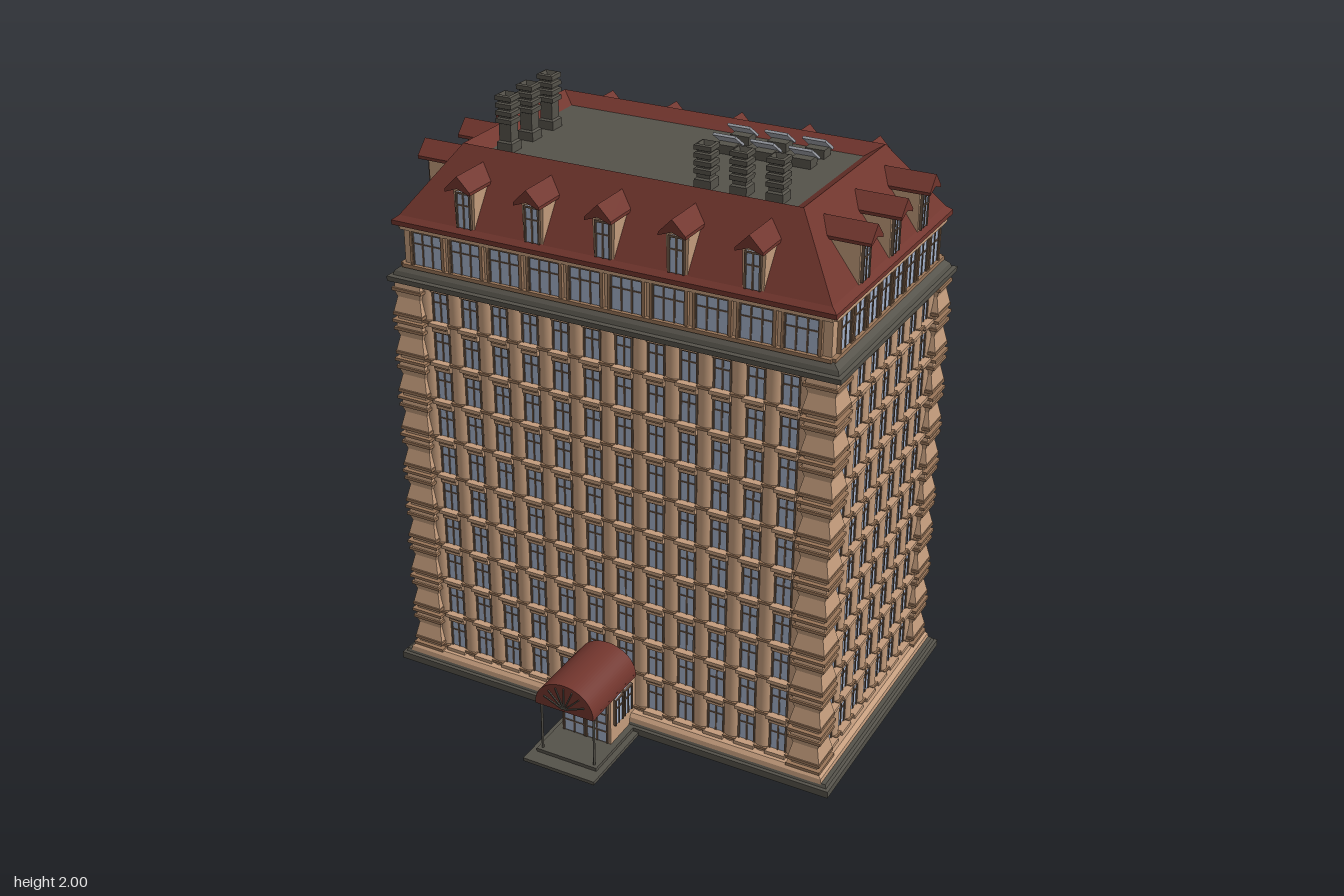
import * as THREE from 'three';
import { mergeGeometries } from 'three/addons/utils/BufferGeometryUtils.js';

const mat = (name, color) => {
  const m = new THREE.MeshStandardMaterial({ color });
  m.name = name;
  return m;
};
const STONE = mat('sandstone', 0xc39c7c);
const TRIM = mat('dark sandstone', 0x9a7659);
const GLASS = mat('window glass', 0xa3b1c9);
const FRAME = mat('window frame', 0x6b5545);
const SLATE = mat('dark slate', 0x55524a);
const ROOF = mat('roof red', 0x71352d);
const PANEL = mat('skylight grey', 0xa0a3ab);

const CZ = -0.145; // depth centre of the tower
const FLOORS = 10, FLOOR_H = 0.1355, FIRST = 0.065;

// Box given by centre x, bottom y, centre z
const box = (w, h, d, x, y, z) => new THREE.BoxGeometry(w, h, d).translate(x, y + h / 2, z);

// Stacked rectangles [y, halfX, halfZ] joined by flat sides
function loft(levels, capTop = true) {
  const p = [];
  const ring = ([y, a, b]) => [[-a, y, b], [a, y, b], [a, y, -b], [-a, y, -b]];
  const quad = (a, b, c, d) => p.push(...a, ...b, ...c, ...a, ...c, ...d);
  const rings = levels.map(ring);
  for (let i = 0; i < rings.length - 1; i++)
    for (let k = 0; k < 4; k++) {
      const n = (k + 1) % 4;
      quad(rings[i][k], rings[i][n], rings[i + 1][n], rings[i + 1][k]);
    }
  const [a, b, c, d] = rings[0];
  quad(d, c, b, a);
  if (capTop) quad(...rings[rings.length - 1]);
  const g = new THREE.BufferGeometry();
  g.setAttribute('position', new THREE.Float32BufferAttribute(p, 3));
  g.computeVertexNormals();
  return g;
}

// Merge many pieces into one named mesh
function add(parent, name, material, geos) {
  const clean = geos.map((g) => {
    const n = g.index ? g.toNonIndexed() : g;
    n.deleteAttribute('uv');
    return n;
  });
  const mesh = new THREE.Mesh(mergeGeometries(clean), material);
  mesh.name = name;
  parent.add(mesh);
}

// Paned window: thin glass with border, mullions and crossbar
function windowUnit(glass, frame, x, y, z, w, h, mullions = 1) {
  const t = 0.006;
  glass.push(box(w, h, 0.006, x, y, z));
  for (const s of [-1, 1]) frame.push(box(t, h, 0.014, x + s * w / 2, y, z));
  for (let i = 1; i <= mullions; i++)
    frame.push(box(t * 0.9, h, 0.012, x - w / 2 + (w * i) / (mullions + 1), y, z));
  frame.push(box(w, 0.004, 0.012, x, y + h * 0.62, z), box(w, t, 0.014, x, y + h - t, z));
}

// One side of the tower, built facing +z at distance "out"
function facade(name, angle, s) {
  const f = new THREE.Group();
  f.name = name;
  f.rotation.y = angle;
  const glass = [], frame = [], stone = [], trim = [];
  const z = s.out, top = FIRST + FLOORS * FLOOR_H;
  const xs = Array.from({ length: s.cols }, (_, i) => (i - (s.cols - 1) / 2) * s.step);

  // Rounded piers between the window columns
  for (let i = 0; i <= s.cols; i++) {
    const x = (i - s.cols / 2) * s.step;
    const r = (s.step - 0.056) / 2;
    stone.push(new THREE.CylinderGeometry(r, r, top - 0.05, 10, 1, true, -Math.PI / 2, Math.PI)
      .scale(1, 1, 0.02 / r).translate(x, (top + 0.05) / 2, z));
    for (let j = 0; j < FLOORS; j++)
      trim.push(box(r * 1.7, 0.009, 0.05, x, FIRST + j * FLOOR_H + 0.006, z));
  }
  // Windows with sills and lintels on every floor
  for (let j = 0; j < FLOORS; j++) {
    const y = FIRST + j * FLOOR_H;
    for (const x of xs) {
      windowUnit(glass, frame, x, y + 0.012, z + 0.003, 0.054, 0.102);
      stone.push(box(0.07, 0.012, 0.062, x, y, z), box(0.058, 0.02, 0.036, x, y + 0.114, z));
      trim.push(box(0.05, 0.008, 0.05, x, y - 0.008, z));
    }
  }
  // Wide windows of the attic storey
  for (let i = 0; i < s.upper; i++) {
    const x = (i - (s.upper - 1) / 2) * s.upperStep;
    windowUnit(glass, frame, x, 1.48, s.upperOut + 0.003, s.upperW, 0.112, s.mullions);
    for (const k of [-1, 1])
      trim.push(box(0.008, 0.125, 0.024, x + k * (s.upperW / 2 + 0.006), 1.475, s.upperOut));
  }
  const band = s.half * 2;
  stone.push(box(band, 0.014, 0.03, 0, 1.592, s.upperOut));
  trim.push(box(band, 0.012, 0.03, 0, 1.466, s.upperOut));
  add(f, 'windowGlass', GLASS, glass);
  add(f, 'windowFrames', FRAME, frame);
  add(f, 'piersAndSills', STONE, stone);
  add(f, 'ledges', TRIM, trim);

  // Dormers in the mansard roof
  const dGlass = [], dFrame = [], dBody = [], dRoof = [];
  const face = s.eave - 0.015;
  for (const x of s.dormers) {
    const cheek = loft([[1.63, 0.033, 0.05], [1.775, 0.037, 0.05]]);
    dBody.push(cheek.translate(x, 0, face - 0.05));
    windowUnit(dGlass, dFrame, x, 1.642, face + 0.002, 0.046, 0.115);
    const gable = new THREE.Shape([[-0.044, 1.762], [0, 1.778], [0.044, 1.762], [0.044, 1.772],
      [0, 1.817], [-0.044, 1.772]].map(([a, b]) => new THREE.Vector2(a, b)));
    dRoof.push(new THREE.ExtrudeGeometry(gable, { depth: 0.165, bevelEnabled: false })
      .translate(x, 0, s.eave - 0.145));
  }
  add(f, 'dormerWalls', STONE, dBody);
  add(f, 'dormerGlass', GLASS, dGlass);
  add(f, 'dormerFrames', FRAME, dFrame);
  add(f, 'dormerRoofs', ROOF, dRoof);
  return f;
}

function chimney(x, z, top) {
  const lv = [[1.8, 0.027, 0.027], [1.85, 0.027, 0.027], [1.855, 0.021, 0.021]];
  for (let i = 0; i < 4; i++) {
    const y = top - 0.092 + i * 0.024, a = 0.021, b = 0.028;
    lv.push([y, a, a], [y + 0.003, b, b], [y + 0.017, b, b], [y + 0.02, a, a]);
  }
  lv.push([top - 0.02 + 0.02, 0.021, 0.021], [top - 0.02, 0.014, 0.014]);
  return loft(lv).translate(x, 0, z);
}

function buildPorch() {
  const porch = new THREE.Group();
  porch.name = 'entrancePorch';
  add(porch, 'porchSteps', SLATE, [box(0.26, 0.012, 0.32, 0, 0, 0.46), box(0.22, 0.012, 0.26, 0, 0.012, 0.44)]);
  add(porch, 'vestibule', STONE, [box(0.18, 0.2, 0.16, 0, 0.02, 0.36)]);

  // Barrel canopy with a fan of ribs at its front
  const arch = new THREE.Shape();
  arch.absellipse(0, 0, 0.105, 0.09, 0, Math.PI);
  const ext = (shape, d, z) =>
    new THREE.ExtrudeGeometry(shape, { depth: d, bevelEnabled: false, curveSegments: 20 }).translate(0, 0.216, z);
  add(porch, 'canopy', ROOF, [ext(arch, 0.275, 0.3), box(0.21, 0.012, 0.275, 0, 0.208, 0.4375)]);
  const ribs = [];
  for (let i = 1; i < 8; i++) {
    const a = (i / 8) * Math.PI;
    ribs.push(new THREE.BoxGeometry(0.075, 0.004, 0.006).translate(0.042, 0, 0)
      .rotateZ(a).translate(0, 0.216, 0.576));
  }
  add(porch, 'canopyRibs', SLATE, ribs);
  add(porch, 'canopyPosts', SLATE, [-1, 1].map((s) =>
    new THREE.CylinderGeometry(0.004, 0.004, 0.195, 8).translate(s * 0.095, 0.115, 0.555)));

  // Glazed double doors and side windows
  const glass = [], frame = [];
  for (const s of [-1, 1]) {
    windowUnit(glass, frame, s * 0.042, 0.03, 0.442, 0.076, 0.17);
    for (const y of [0.07, 0.1, 0.165]) frame.push(box(0.076, 0.004, 0.012, s * 0.042, y, 0.442));
    for (const z of [0.335, 0.395]) {
      const g = [], fr = [];
      windowUnit(g, fr, 0, 0.085, 0, 0.045, 0.1);
      const place = (q) => q.rotateY(s * Math.PI / 2).translate(s * 0.092, 0, z);
      glass.push(...g.map(place));
      frame.push(...fr.map(place));
    }
  }
  add(porch, 'doorGlass', GLASS, glass);
  add(porch, 'doorFrames', FRAME, frame);
  return porch;
}

export function createModel() {
  const model = new THREE.Group();
  model.name = 'mansardTower';
  const tower = new THREE.Group();
  tower.name = 'tower';
  tower.position.z = CZ;
  model.add(tower);

  // Plinth, walls, cornice and attic storey
  add(tower, 'plinth', SLATE, [loft([[0, 0.8, 0.475], [0.024, 0.8, 0.475], [0.026, 0.79, 0.465], [0.037, 0.785, 0.46]])]);
  add(tower, 'plinthStep', STONE, [loft([[0.03, 0.772, 0.462], [0.05, 0.768, 0.46], [0.062, 0.755, 0.45]])]);
  add(tower, 'mainWalls', STONE, [box(1.43, 1.39, 0.82, 0, 0.04, 0)]);
  add(tower, 'cornice', SLATE, [loft([[1.412, 0.745, 0.44], [1.42, 0.768, 0.46], [1.436, 0.768, 0.46],
    [1.438, 0.755, 0.445], [1.452, 0.75, 0.44], [1.468, 0.73, 0.425]])]);
  add(tower, 'atticWalls', STONE, [box(1.44, 0.16, 0.84, 0, 1.455, 0)]);

  // Corner quoins: flared blocks with thin ledges on each floor
  const blocks = [], ledges = [];
  for (const sx of [-1, 1]) for (const sz of [-1, 1])
    for (let j = 0; j < FLOORS; j++) {
      const y = FIRST + j * FLOOR_H - 0.005;
      const at = (g) => g.translate(sx * 0.703, 0, sz * 0.398);
      blocks.push(at(loft([[y, 0.044, 0.044], [y + 0.03, 0.044, 0.044], [y + 0.036, 0.053, 0.053],
        [y + 0.085, 0.042, 0.042], [y + 0.11, 0.05, 0.05], [y + FLOOR_H, 0.046, 0.046]])));
      for (const [dy, r] of [[0, 0.058], [0.024, 0.055], [0.108, 0.055]])
        ledges.push(at(box(r * 2, 0.01, r * 2, 0, y + dy, 0)));
    }
  add(tower, 'cornerQuoins', STONE, blocks);
  add(tower, 'quoinLedges', TRIM, ledges);

  // Four facades
  const long = { out: 0.41, half: 0.725, cols: 12, step: 0.109, upper: 10, upperStep: 0.14, upperW: 0.105,
    mullions: 2, upperOut: 0.42, eave: 0.45, dormers: [-0.48, -0.24, 0, 0.24, 0.48] };
  const short = { out: 0.715, half: 0.425, cols: 7, step: 0.102, upper: 8, upperStep: 0.098, upperW: 0.068,
    mullions: 1, upperOut: 0.72, eave: 0.74, dormers: [-0.225, 0, 0.225] };
  ['front', 'left', 'back', 'right'].forEach((n, i) =>
    tower.add(facade(n + 'Facade', (i * Math.PI) / 2, i % 2 ? short : long)));

  // Mansard roof with sunken deck
  add(tower, 'mansardRoof', ROOF, [loft([[1.606, 0.73, 0.43], [1.61, 0.742, 0.452], [1.625, 0.742, 0.452],
    [1.64, 0.722, 0.436], [1.855, 0.565, 0.3], [1.82, 0.51, 0.253]], false)]);
  add(tower, 'roofDeck', SLATE, [box(1.03, 0.01, 0.515, 0, 1.812, 0)]);

  // Chimneys: a tall row along one end, a lower row at the front
  const stacks = [];
  for (const z of [-0.18, -0.06, 0.06]) stacks.push(chimney(-0.462, z, 2));
  for (const x of [0.213, 0.328, 0.443]) stacks.push(chimney(x, 0.06, 1.957));
  add(model, 'chimneys', SLATE, stacks);

  // Tilted skylights
  const panes = [], curbs = [];
  for (const x of [0.136, 0.262, 0.388]) for (const z of [-0.34, -0.24]) {
    panes.push(new THREE.BoxGeometry(0.076, 0.008, 0.076).rotateX(-0.6).translate(x, 1.862, z));
    curbs.push(box(0.064, 0.03, 0.05, x, 1.82, z));
  }
  add(model, 'skylights', PANEL, panes);
  add(model, 'skylightCurbs', SLATE, curbs);

  model.add(buildPorch());
  return model;
}
